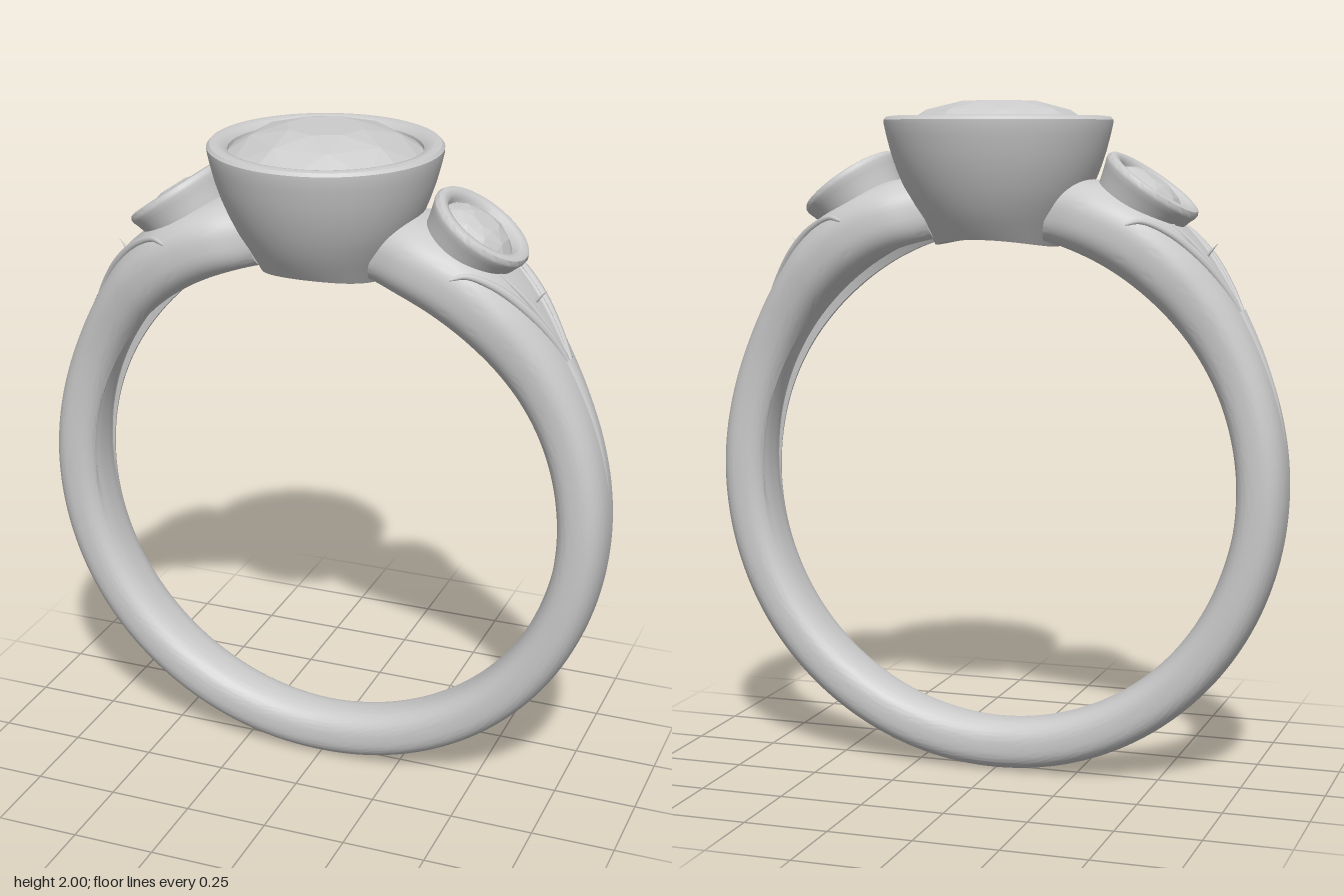
import * as THREE from 'three';
import { toCreasedNormals } from 'three/addons/utils/BufferGeometryUtils.js';
import { ConvexGeometry } from 'three/addons/geometries/ConvexGeometry.js';

const CENTRE_Y = 0.875, INNER = 0.725, START = 13;
const rad = THREE.MathUtils.degToRad;
const metal = new THREE.MeshStandardMaterial({ color: 0xcccccc, side: THREE.DoubleSide });
const stone = new THREE.MeshStandardMaterial({ color: 0xcccccc, flatShading: true });

// Band dimensions by angle from the top (degrees)
const angles = [0, 13, 20, 30, 40, 48, 56, 65, 90, 130, 180];
const table = (values) => {
  const f = new THREE.CubicInterpolant(angles, values, 1, [0]);
  return (t) => f.evaluate(t)[0];
};
const outerAt = table([0.92, 0.93, 0.95, 0.958, 0.937, 0.915, 0.898, 0.886, 0.875, 0.875, 0.875]);
const widthAt = table([0.1, 0.135, 0.172, 0.18, 0.163, 0.14, 0.12, 0.107, 0.104, 0.096, 0.08]);

// Point on the band: t runs around the finger, u around the section (0 = outward, 90 = +z)
function bandPoint(t, u, lift = 0) {
  const k = Math.min(t, 360 - t), w = widthAt(k), half = (outerAt(k) - INNER) / 2;
  const power = (v) => Math.sign(v) * Math.abs(v) ** 0.78;
  const s = power(Math.sin(rad(u))), c = power(Math.cos(rad(u)));
  let r = INNER + half + half * c + lift;
  if (c < 0) { // hollow channel inside the shoulders, fading towards the bottom
    const depth = 0.04 * (1 - THREE.MathUtils.smoothstep(k, 35, 115));
    r += depth * (1 - THREE.MathUtils.smoothstep(Math.abs(s), 0.55, 0.68));
  }
  return new THREE.Vector3(r * Math.sin(rad(t)), CENTRE_Y + r * Math.cos(rad(t)), w * s);
}

function bandGeometry() {
  const rings = 200, sides = 72, pos = [], index = [];
  for (let i = 0; i <= rings; i++) {
    const t = START + (360 - 2 * START) * i / rings;
    for (let j = 0; j < sides; j++) pos.push(...bandPoint(t, 360 * j / sides).toArray());
  }
  for (let i = 0; i < rings; i++) {
    for (let j = 0; j < sides; j++) {
      const a = i * sides + j, b = i * sides + (j + 1) % sides;
      index.push(a, b, a + sides, b, b + sides, a + sides);
    }
  }
  // End caps
  const last = rings * sides;
  for (let j = 1; j < sides - 1; j++) {
    index.push(0, j + 1, j, last, last + j, last + j + 1);
  }
  const g = new THREE.BufferGeometry();
  g.setAttribute('position', new THREE.Float32BufferAttribute(pos, 3));
  g.setIndex(index);
  return toCreasedNormals(g, 0.6);
}

function add(parent, name, geometry, material = metal) {
  const mesh = new THREE.Mesh(geometry, material);
  mesh.name = name;
  parent.add(mesh);
  return mesh;
}

// Tube whose radius follows a rule along its length
function taperedTube(points, radiusAt) {
  const curve = new THREE.CatmullRomCurve3(points), segments = 40, sides = 8;
  const g = new THREE.TubeGeometry(curve, segments, 1, sides);
  const p = g.attributes.position, v = new THREE.Vector3();
  for (let i = 0; i < p.count; i++) {
    const f = Math.floor(i / (sides + 1)) / segments, c = curve.getPointAt(f);
    v.fromBufferAttribute(p, i).sub(c).multiplyScalar(radiusAt(f)).add(c);
    p.setXYZ(i, v.x, v.y, v.z);
  }
  return g;
}

function lathe(profile) {
  return new THREE.LatheGeometry(profile.map(([x, y]) => new THREE.Vector2(x, y)), 72);
}

// Faceted round stone with its girdle at y = 0
function gemGeometry(r, crown, depth) {
  const points = [new THREE.Vector3(0, -depth, 0)];
  const ring = (n, radius, y, turn) => {
    for (let i = 0; i < n; i++) {
      const a = (i + turn) / n * Math.PI * 2;
      points.push(new THREE.Vector3(radius * Math.sin(a), y, radius * Math.cos(a)));
    }
  };
  ring(16, r, 0, 0);
  ring(8, r * 0.74, crown * 0.66, 0.5);
  ring(8, r * 0.4, crown, 0);
  ring(8, r * 0.55, -depth * 0.5, 0.5);
  return new ConvexGeometry(points);
}

// One shoulder: side stone, bezel and leaf ornament, built on +x
function shoulder() {
  const g = new THREE.Group();

  const setting = new THREE.Group();
  setting.name = 'sideSetting';
  setting.position.set(0.473, 1.768, 0);
  setting.rotation.z = rad(-35);
  add(setting, 'sideBezel', toCreasedNormals(lathe([
    [0.12, -0.14], [0.138, -0.07], [0.149, -0.035], [0.155, -0.02], [0.156, -0.01], [0.15, 0],
    [0.138, 0.004], [0.123, 0], [0.113, -0.012], [0.108, -0.03], [0.1, -0.05],
  ]), 0.7));
  add(setting, 'sideStone', gemGeometry(0.112, 0.035, 0.1), stone).position.y = -0.025;
  g.add(setting);

  // Leaf edges, mirrored front and back
  const leaf = (f) => 0.003 + 0.012 * Math.sin(Math.PI * f) ** 0.6;
  const outerEdge = [[29, 72], [31, 55], [36, 38], [42, 25], [49, 11], [56, 1]];
  const innerEdge = [[34, 18], [40, 13], [46, 7], [53, 1]];
  for (const side of [1, -1]) {
    const path = (list) => list.map(([t, u]) => bandPoint(t, u * side, -0.001));
    add(g, 'leafOuterEdge', taperedTube(path(outerEdge), leaf));
    add(g, 'leafInnerEdge', taperedTube(path(innerEdge), (f) => leaf(f) * 0.7));
  }

  // Long stem running down the band, mostly sunk into it
  const stem = [54, 60, 66, 72, 78, 82].map((t) => bandPoint(t, 0, -0.02 + (t - 54) * 0.0006));
  add(g, 'leafStem', taperedTube(stem, (f) => 0.03 * (1 - f) + 0.003));

  // Tiny pin between the leaves
  const pin = add(g, 'leafPin', new THREE.ConeGeometry(0.007, 0.06, 8));
  pin.position.copy(bandPoint(42.5, 0, 0.018));
  pin.rotation.z = rad(-42.5);
  return g;
}

export function createModel() {
  const ring = new THREE.Group();
  ring.name = 'ring';
  add(ring, 'band', bandGeometry());

  // Centre cup with an open base
  const cup = lathe([
    [0.1, 1.6], [0.14, 1.6], [0.185, 1.6], [0.221, 1.65], [0.252, 1.7], [0.277, 1.75], [0.298, 1.8],
    [0.315, 1.85], [0.328, 1.9], [0.335, 1.932], [0.336, 1.945], [0.328, 1.954], [0.31, 1.957],
    [0.29, 1.952], [0.277, 1.938], [0.272, 1.9], [0.21, 1.75], [0.1, 1.66], [0.1, 1.6],
  ]);
  // Base follows the curve of the finger hole
  const p = cup.attributes.position;
  for (let i = 0; i < p.count; i++) {
    if (p.getY(i) < 1.61) p.setY(i, CENTRE_Y + Math.sqrt(INNER ** 2 - p.getX(i) ** 2) + 0.003);
  }
  add(ring, 'centreCup', toCreasedNormals(cup, 0.6));
  add(ring, 'centreStone', gemGeometry(0.285, 0.075, 0.26), stone).position.y = 1.925;

  const left = shoulder(), right = shoulder();
  left.name = 'leftShoulder';
  right.name = 'rightShoulder';
  right.rotation.y = Math.PI;
  ring.add(left, right);
  return ring;
}
